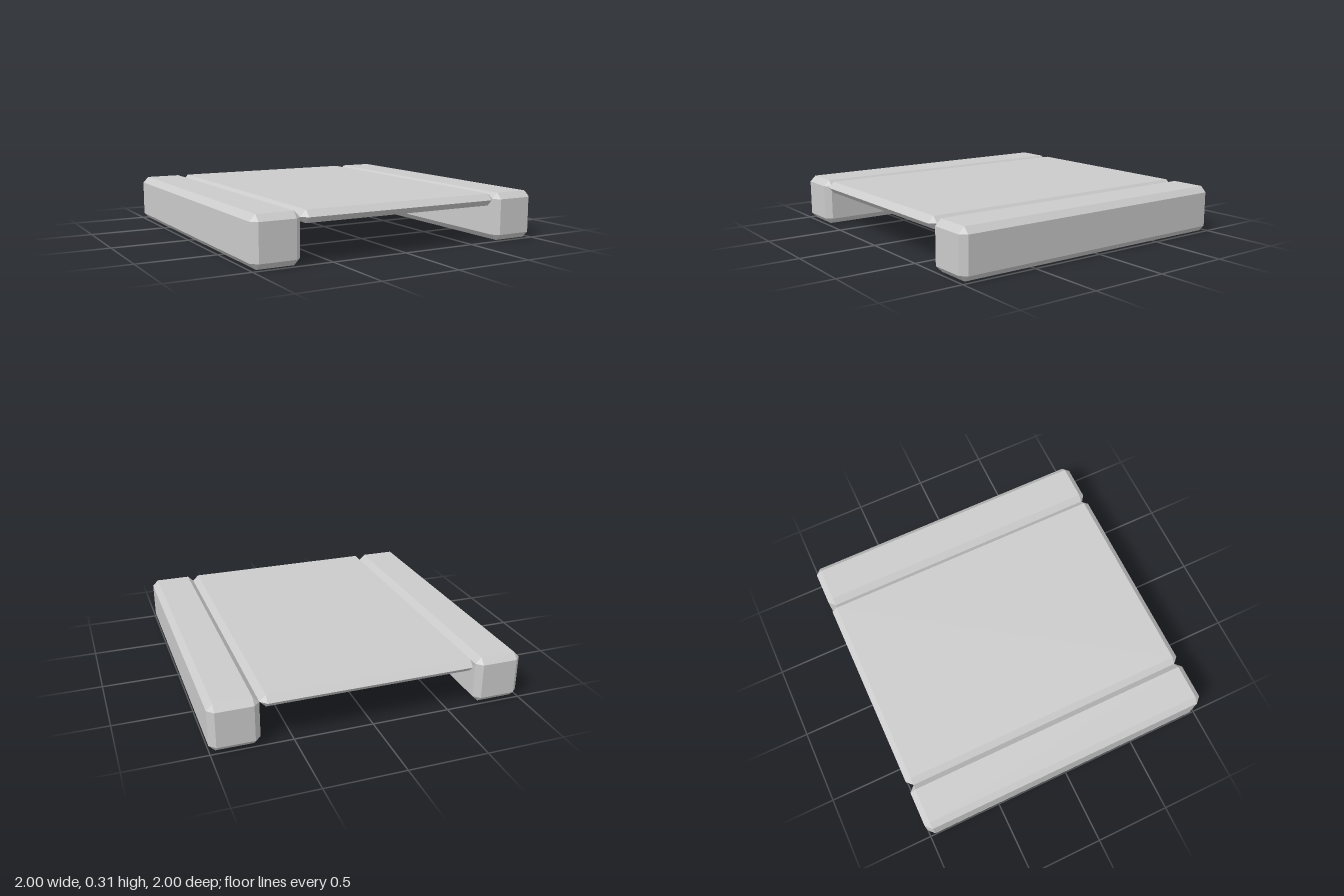
import * as THREE from 'three';
import { ConvexGeometry } from 'three/addons/geometries/ConvexGeometry.js';

const BEVEL = 0.0385;
const HEIGHT = 0.308;

// Box with flat bevels on all edges and triangular corners
function beveledBox(w, h, d, c) {
  const x = w / 2, y = h / 2, z = d / 2;
  const points = new Map();
  const add = (...p) => points.set(p.map(v => (v + 0).toFixed(5)).join(), new THREE.Vector3(...p));
  for (const sx of [-1, 1]) for (const sy of [-1, 1]) for (const sz of [-1, 1]) {
    const iy = h > 2 * c ? sy * (y - c) : 0; // thin slabs share one middle edge
    add(sx * x, iy, sz * (z - c));
    add(sx * (x - c), sy * y, sz * (z - c));
    add(sx * (x - c), iy, sz * z);
  }
  return new ConvexGeometry([...points.values()]);
}

export function createModel() {
  const group = new THREE.Group();
  group.name = 'lowPlatform';
  const material = new THREE.MeshStandardMaterial({ color: 0xcccccc, flatShading: true });

  const addPart = (name, geometry, x, y) => {
    const mesh = new THREE.Mesh(geometry, material);
    mesh.name = name;
    mesh.position.set(x, y, 0);
    group.add(mesh);
  };

  // Side rails, mirrored
  const rail = beveledBox(HEIGHT, HEIGHT, 2, BEVEL);
  for (const [name, side] of [['leftRail', 1], ['rightRail', -1]]) {
    addPart(name, rail, side * (1 - HEIGHT / 2), HEIGHT / 2);
  }

  // Thin top panel between the rails, with knife-like edges
  const panel = beveledBox(2 * (1 - HEIGHT), 2 * BEVEL, 2, BEVEL);
  addPart('topPanel', panel, 0, HEIGHT - BEVEL);

  return group;
}
